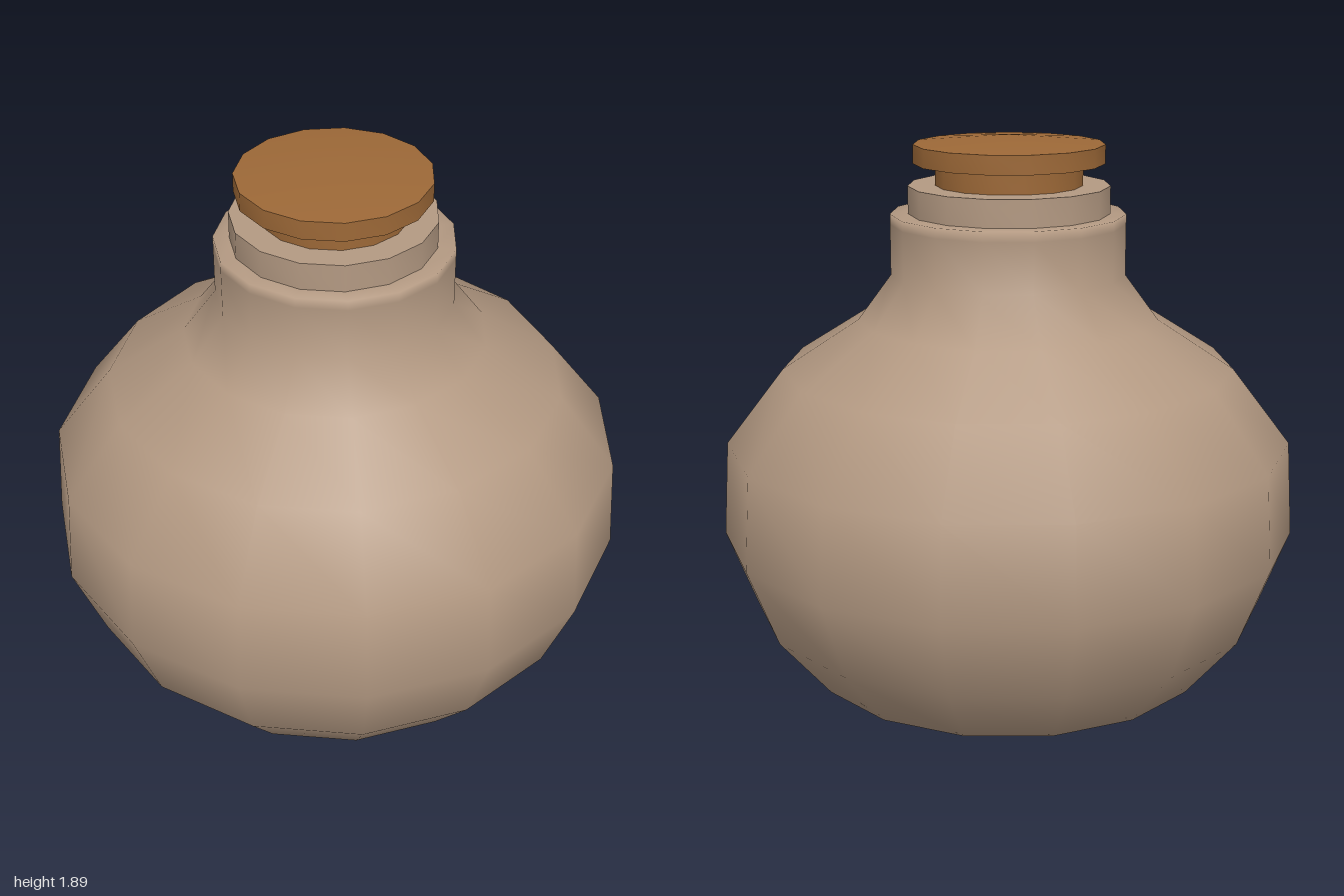
import * as THREE from 'three';
import { toCreasedNormals } from 'three/addons/utils/BufferGeometryUtils.js';

const SIDES = 15;

// Turned solid with one vertex column on +x; profile runs bottom to top as [radius, y].
function turned(name, profile, material, x, crease) {
  const points = profile.map(([r, y]) => new THREE.Vector2(r, y));
  let geometry = new THREE.LatheGeometry(points, SIDES, Math.PI / 2);
  if (crease) geometry = toCreasedNormals(geometry, crease);
  const mesh = new THREE.Mesh(geometry, material);
  mesh.name = name;
  mesh.position.x = x;
  return mesh;
}

export function createModel() {
  const clay = new THREE.MeshStandardMaterial({ color: 0xb39982 });
  clay.name = 'clay';
  const cork = new THREE.MeshStandardMaterial({ color: 0x9c6837 });
  cork.name = 'cork';

  const group = new THREE.Group();
  group.name = 'stopperedBottle';

  // Smooth round belly, shoulder and neck, closed underneath
  group.add(turned('bottleBody', [
    [0, 0], [0.71, 0], [0.895, 0.22], [1.005, 0.5], [0.985, 0.83],
    [0.785, 1.09], [0.52, 1.26], [0.405, 1.415], [0.405, 1.59], [0.405, 1.625], [0.34, 1.625],
  ], clay, -0.011));

  // Narrower mouth ring with a flat top
  group.add(turned('bottleLip', [
    [0.347, 1.62], [0.347, 1.72], [0, 1.72],
  ], clay, -0.015, 0.7));

  // Stopper: stem and wider, slightly peaked cap
  group.add(turned('stopperStem', [
    [0.253, 1.7], [0.253, 1.8],
  ], cork, -0.015, 0.7));
  group.add(turned('stopperCap', [
    [0, 1.795], [0.328, 1.795], [0.328, 1.86], [0, 1.89],
  ], cork, -0.015, 0.7));

  return group;
}
